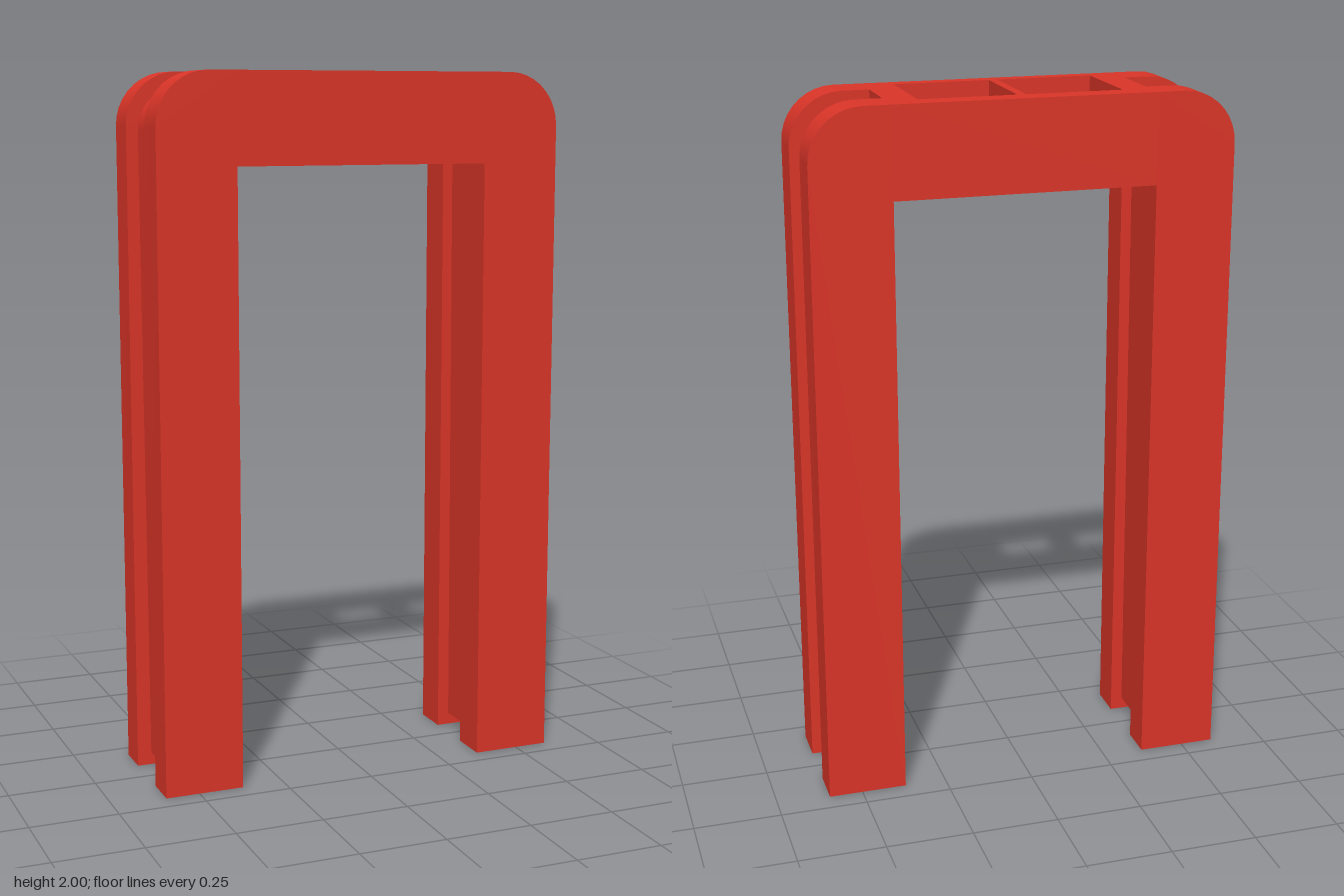
import * as THREE from 'three';
import { toCreasedNormals } from 'three/addons/utils/BufferGeometryUtils.js';

const HALF_W = 0.597, INNER = 0.37, HALF_D = 0.19, TOP = 2, UNDER = 1.745;

// Points of a rounded upper outer corner, from the side up to the top
function cornerArc(x, y, r, steps = 9) {
  return Array.from({ length: steps + 1 }, (_, i) => {
    const a = (i / steps) * Math.PI / 2;
    return [x - r + r * Math.cos(a), y - r + r * Math.sin(a)];
  });
}

// Extrudes an outline (side = -1 mirrors it in x) between two z positions
function slab(points, side, z0, z1) {
  const shape = new THREE.Shape(points.map(([x, y]) => new THREE.Vector2(side * x, y)));
  const geo = new THREE.ExtrudeGeometry(shape, { depth: z1 - z0, bevelEnabled: false });
  geo.translate(0, 0, z0);
  return toCreasedNormals(geo, 0.5);
}

export function createModel() {
  const model = new THREE.Group();
  model.name = 'archFrame';
  const red = new THREE.MeshStandardMaterial({ color: 0xdc3528 });
  const add = (name, geo, parent = model) => {
    const mesh = new THREE.Mesh(geo, red);
    mesh.name = name;
    parent.add(mesh);
    return mesh;
  };

  // Crossbeam with two square openings running straight down through it
  const rect = (Type, x0, x1, y0, y1) => new Type([
    new THREE.Vector2(x0, y0), new THREE.Vector2(x1, y0),
    new THREE.Vector2(x1, y1), new THREE.Vector2(x0, y1),
  ]);
  const plan = rect(THREE.Shape, -INNER, INNER, -HALF_D, HALF_D);
  for (const [x0, x1] of [[-0.29, -0.015], [0.01, 0.285]]) {
    plan.holes.push(rect(THREE.Path, x0, x1, -0.15, 0.125));
  }
  const beam = new THREE.ExtrudeGeometry(plan, { depth: TOP - UNDER, bevelEnabled: false });
  beam.rotateX(-Math.PI / 2).translate(0, UNDER, 0);
  add('crossbeam', beam);

  // Leg rails reach the full outline; the web between them is recessed all round
  const rail = [[INNER, 0], [HALF_W, 0], ...cornerArc(HALF_W, TOP, 0.15), [INNER, TOP]];
  const web = [
    [0.405, 0.035], [0.556, 0.035],
    ...cornerArc(0.563, 1.957, 0.12), [INNER, 1.957],
    [INNER, UNDER], [0.4, UNDER],
  ];

  // The groove on one leg is slightly wider than on the other
  for (const { name, side, back, front } of [
    { name: 'leftLeg', side: 1, back: -0.08, front: 0.076 },
    { name: 'rightLeg', side: -1, back: -0.09, front: 0.086 },
  ]) {
    const leg = new THREE.Group();
    leg.name = name;
    model.add(leg);
    add('frontRail', slab(rail, side, front, HALF_D), leg);
    add('backRail', slab(rail, side, -HALF_D, back), leg);
    add('recessedWeb', slab(web, side, back, front), leg);
  }
  return model;
}
